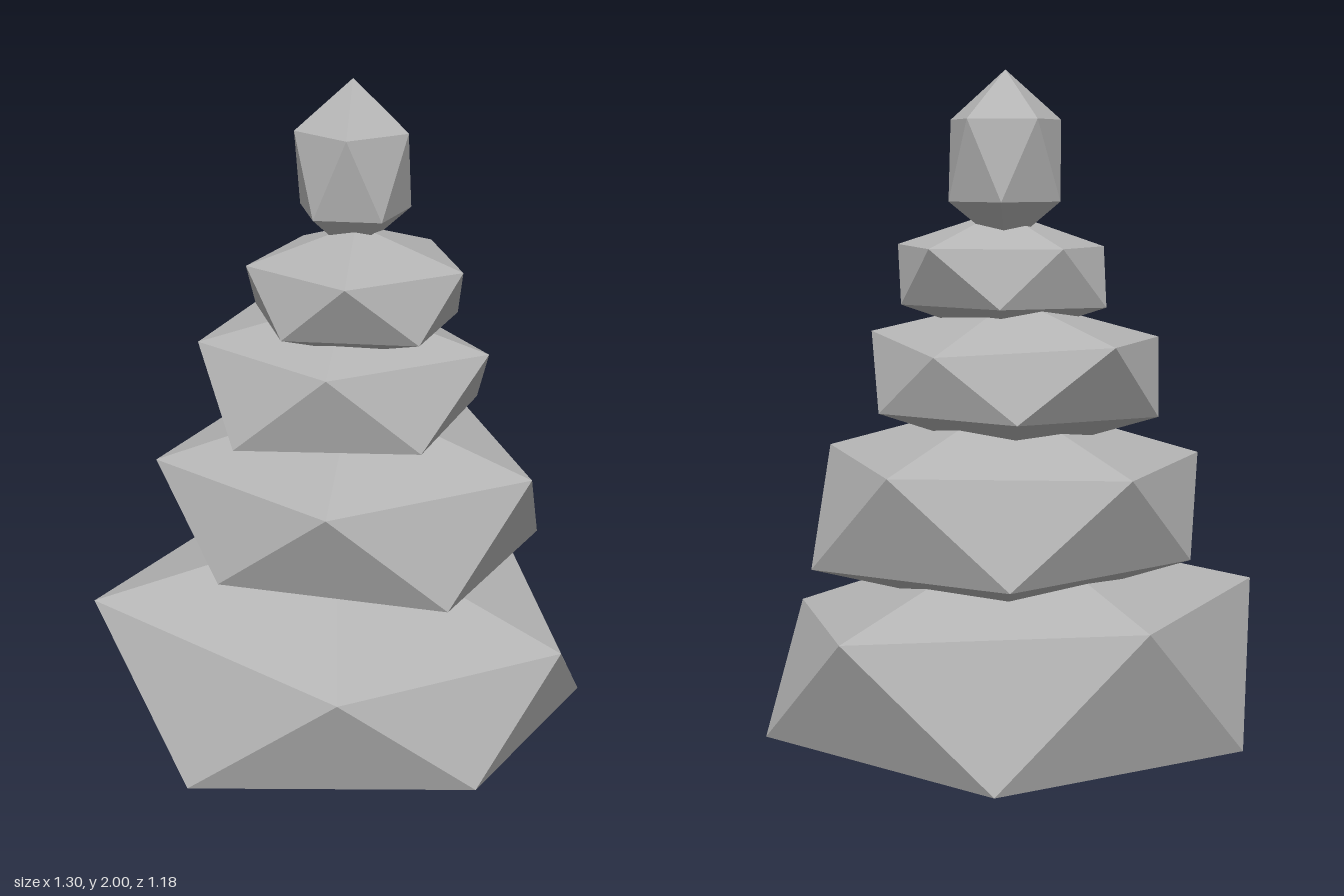
import * as THREE from 'three';

const stoneMaterial = new THREE.MeshStandardMaterial({ color: 0xb4b4b4, flatShading: true });
stoneMaterial.name = 'grey stone';

// A rough twelve-cornered stone: two tips and two staggered rings of five corners.
// Rings run around y from +x towards +z; each lower corner follows its upper one.
function makeStone(name, top, upper, lower, bottom) {
  const positions = [];
  const face = (...corners) => corners.forEach((c) => positions.push(...c));
  for (let i = 0; i < 5; i++) {
    const j = (i + 1) % 5;
    face(top, upper[j], upper[i]);
    face(upper[i], upper[j], lower[i]);
    face(lower[i], upper[j], lower[j]);
    face(bottom, lower[i], lower[j]);
  }
  const geometry = new THREE.BufferGeometry();
  geometry.setAttribute('position', new THREE.Float32BufferAttribute(positions, 3));
  geometry.computeVertexNormals();
  const mesh = new THREE.Mesh(geometry, stoneMaterial);
  mesh.name = name;
  return mesh;
}

export function createModel() {
  const group = new THREE.Group();
  group.name = 'stoneStack';

  // Broad base stone
  group.add(makeStone('baseStone', [-0.02, 0.76, 0],
    [[0.65, 0.51, 0], [0.24, 0.52, 0.535], [-0.57, 0.585, 0.4], [-0.5, 0.59, -0.36], [0.25, 0.55, -0.59]],
    [[0.54, 0.235, 0.32], [-0.175, 0.2, 0.595], [-0.655, 0.2, 0], [-0.17, 0.2, -0.59], [0.585, 0.21, -0.36]],
    [0.035, 0, 0]));

  // Second stone
  group.add(makeStone('secondStone', [0, 1.13, -0.05],
    [[0.53, 0.975, -0.05], [0.15, 0.97, 0.415], [-0.455, 0.965, 0.235], [-0.44, 0.97, -0.325], [0.15, 0.97, -0.51]],
    [[0.415, 0.69, 0.235], [-0.18, 0.715, 0.395], [-0.515, 0.72, -0.045], [-0.18, 0.7, -0.505], [0.44, 0.685, -0.36]],
    [0, 0.54, -0.05]));

  // Third stone
  group.add(makeStone('thirdStone', [-0.02, 1.4, -0.05],
    [[0.39, 1.3, -0.07], [0.09, 1.295, 0.29], [-0.365, 1.29, 0.145], [-0.385, 1.3, -0.3], [0.08, 1.265, -0.37]],
    [[0.3, 1.085, 0.16], [-0.17, 1.07, 0.315], [-0.43, 1.1, -0.07], [-0.16, 1.105, -0.4], [0.28, 1.1, -0.27]],
    [-0.02, 0.97, -0.05]));

  // Fourth stone
  group.add(makeStone('fourthStone', [0.04, 1.63, 0.01],
    [[0.34, 1.535, 0], [0.14, 1.54, 0.285], [-0.2, 1.53, 0.17], [-0.19, 1.535, -0.14], [0.14, 1.535, -0.255]],
    [[0.285, 1.375, 0.15], [-0.05, 1.375, 0.265], [-0.26, 1.375, 0.01], [-0.05, 1.38, -0.235], [0.27, 1.38, -0.14]],
    [0.03, 1.28, 0.01]));

  // Tall pebble on top
  group.add(makeStone('topPebble', [0.01, 2, -0.035],
    [[0.165, 1.87, -0.04], [0.06, 1.87, 0.11], [-0.115, 1.87, 0.055], [-0.115, 1.87, -0.13], [0.06, 1.87, -0.185]],
    [[0.135, 1.655, 0.055], [-0.035, 1.655, 0.11], [-0.145, 1.655, -0.035], [-0.035, 1.655, -0.185], [0.135, 1.655, -0.13]],
    [0.01, 1.53, -0.035]));

  return group;
}
